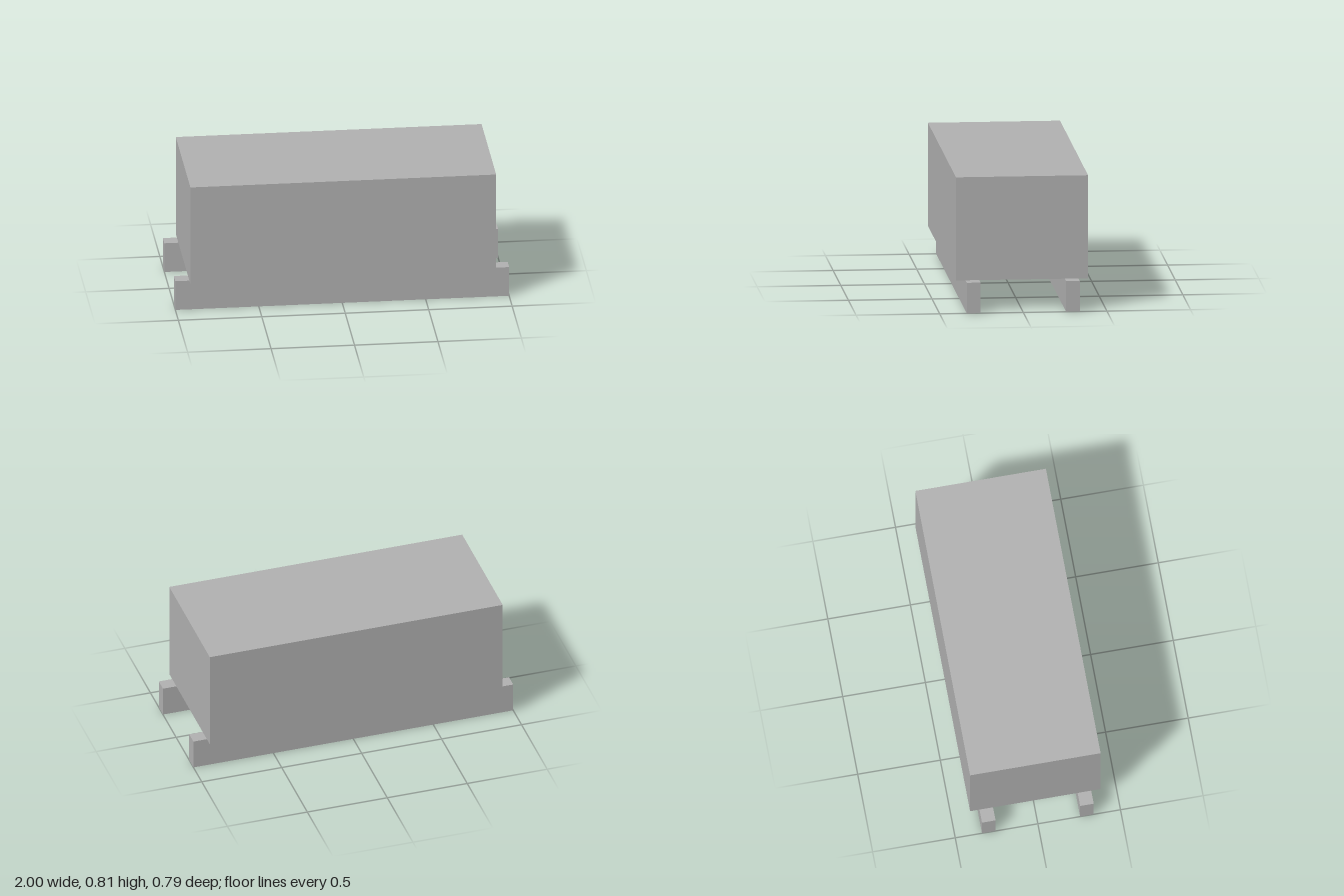
import * as THREE from 'three';

const grey = new THREE.MeshStandardMaterial({ color: 0xb2b2b2, side: THREE.DoubleSide });
grey.name = 'grey';

// Thin-walled box with a top and four sides, open underneath
function openBox(name, width, height, depth, baseY, z) {
  const geometry = new THREE.BoxGeometry(width, height, depth);
  const index = Array.from(geometry.index.array);
  index.splice(18, 6); // drop the bottom face
  geometry.setIndex(index);
  geometry.clearGroups();
  const mesh = new THREE.Mesh(geometry, grey);
  mesh.name = name;
  mesh.position.set(0, baseY + height / 2, z);
  return mesh;
}

export function createModel() {
  const model = new THREE.Group();
  model.name = 'boxOnRails';

  // Main box resting on the rails
  model.add(openBox('body', 1.832, 0.624, 0.79, 0.185, 0));

  // Two long rails, projecting past both ends of the body
  for (const side of [1, -1]) {
    model.add(openBox(side > 0 ? 'frontRail' : 'backRail', 2, 0.185, 0.082, 0, side * 0.297));
  }
  return model;
}
